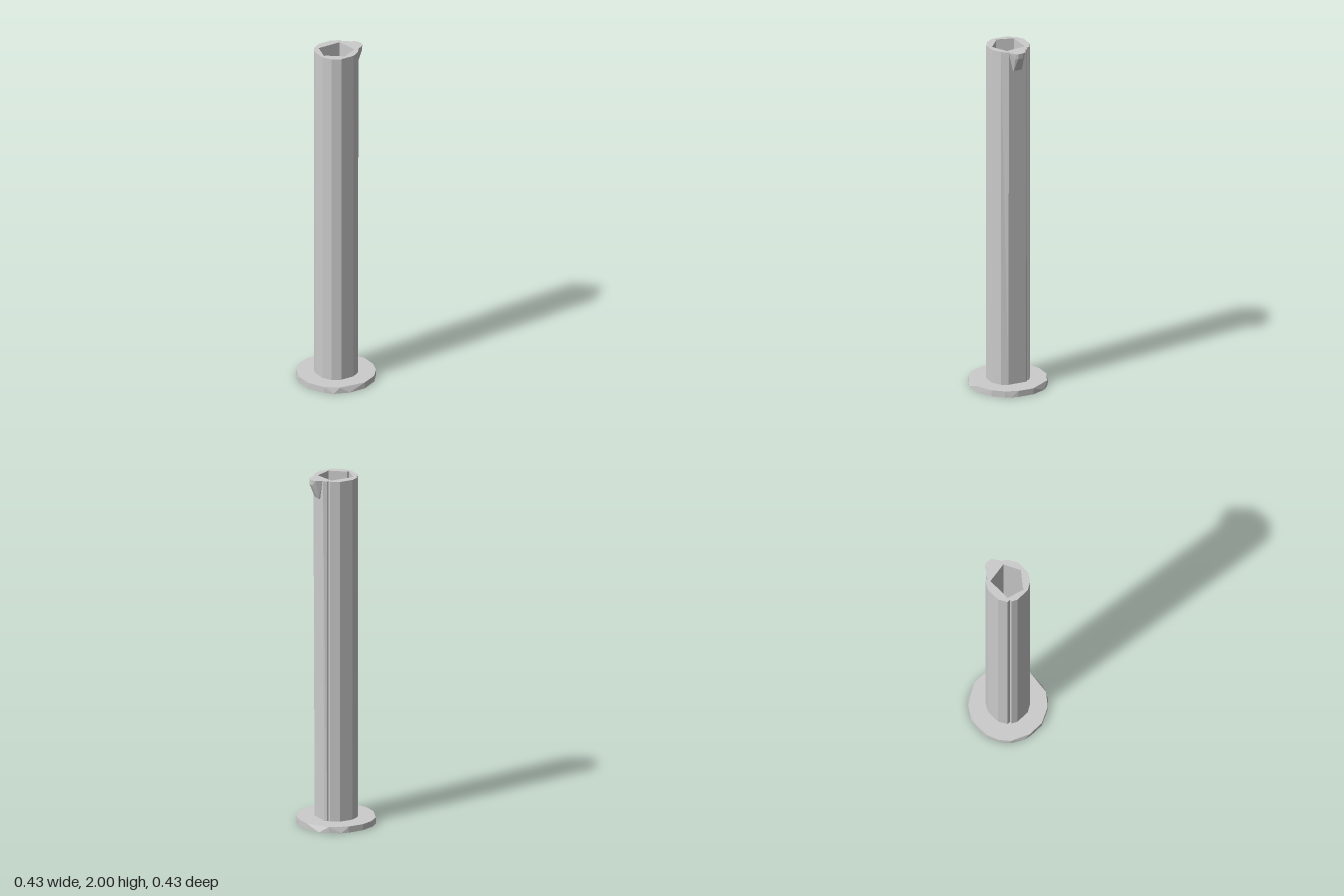
import * as THREE from 'three';
import { ConvexGeometry } from 'three/addons/geometries/ConvexGeometry.js';

const BASE_TOP = 0.035;
const HEIGHT = 2;

// Outlines are [x, z] pairs.
const tubeOutline = [
  [-0.04, -0.115], [0.04, -0.115], [0.087, -0.088], [0.087, -0.07], [0.097, -0.07], [0.115, -0.058],
  [0.115, 0.05], [0.088, 0.086], [0.04, 0.115], [-0.04, 0.115], [-0.087, 0.086], [-0.115, 0.04],
  [-0.115, -0.04], [-0.1, -0.07], [-0.087, -0.07], [-0.087, -0.088],
];
const boreOutline = [
  [-0.07, -0.07], [0.067, -0.07], [0.087, 0.05], [-0.005, 0.095], [-0.087, 0.03], [-0.098, 0.03],
];
const footTop = [
  [-0.05, -0.215], [0.04, -0.215], [0.14, -0.17], [0.215, -0.05], [0.215, 0.04], [0.19, 0.11],
  [0.14, 0.17], [0.05, 0.213], [-0.1, 0.195], [-0.17, 0.14], [-0.215, 0.05], [-0.215, -0.04],
  [-0.17, -0.145], [-0.115, -0.19],
];
const footBottom = [
  [-0.05, -0.215], [0.04, -0.215], [0.08, -0.206], [0.14, -0.17], [0.18, -0.133], [0.215, -0.05],
  [0.215, 0.04], [0.206, 0.08], [0.19, 0.11], [0.14, 0.17], [0.05, 0.215], [-0.05, 0.215],
  [-0.13, 0.182], [-0.17, 0.14], [-0.215, 0.05], [-0.215, -0.04], [-0.206, -0.08],
  [-0.17, -0.145], [-0.13, -0.182],
];

const toVec2 = (points) => points.map(([x, z]) => new THREE.Vector2(x, z));
const ring = (points, y) => points.map(([x, z]) => new THREE.Vector3(x, y, z));

export function createModel() {
  const group = new THREE.Group();
  const material = new THREE.MeshStandardMaterial({ color: 0xcccccc, flatShading: true });
  const add = (name, geometry) => {
    const mesh = new THREE.Mesh(geometry, material);
    mesh.name = name;
    group.add(mesh);
  };

  // Faceted foot disc
  add('foot', new ConvexGeometry([...ring(footTop, BASE_TOP), ...ring(footBottom, 0)]));

  // Tall tube with a five-sided bore open at the top; the foot closes it below
  const shape = new THREE.Shape(toVec2(tubeOutline));
  shape.holes.push(new THREE.Path(toVec2(boreOutline)));
  const tube = new THREE.ExtrudeGeometry(shape, { depth: HEIGHT - BASE_TOP + 0.005, bevelEnabled: false });
  tube.rotateX(Math.PI / 2).translate(0, HEIGHT, 0);
  // The spout-side face leans in slightly towards the foot
  const pos = tube.attributes.position;
  for (let i = 0; i < pos.count; i++) {
    if (pos.getX(i) > 0.11 && pos.getY(i) < 1) pos.setX(i, 0.107);
  }
  tube.computeVertexNormals();
  add('tube', tube);

  // Pouring spout: wide at the rim, narrowing down against the tube
  add('spout', new ConvexGeometry([
    ...ring([[0.1, -0.05], [0.115, -0.052], [0.148, -0.034], [0.16, -0.015],
      [0.16, 0.015], [0.152, 0.03], [0.12, 0.05], [0.1, 0.055]], HEIGHT),
    ...ring([[0.159, -0.015], [0.159, 0.015], [0.15, 0.028]], 1.97),
    ...ring([[0.1, -0.03], [0.122, -0.024], [0.122, 0.024], [0.1, 0.03]], 1.89),
  ]));

  return group;
}
